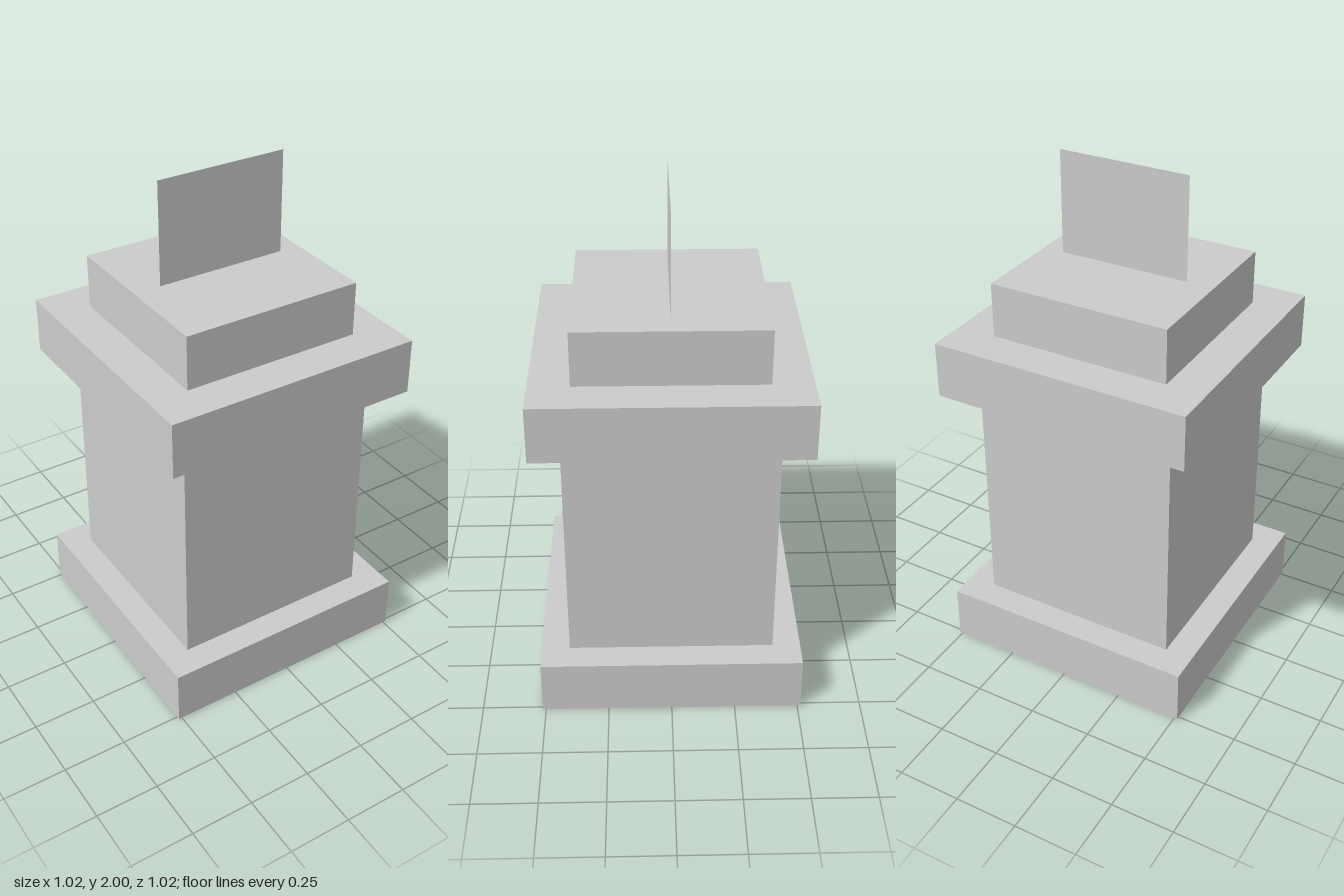
import * as THREE from 'three';

export function createModel() {
  const group = new THREE.Group();
  const stone = new THREE.MeshStandardMaterial({ color: 0xcccccc, flatShading: true });

  // Stacked square blocks: name, width, bottom, top
  const blocks = [
    ['base', 1.025, 0, 0.22],
    ['shaft', 0.805, 0.22, 1.16],
    ['capital', 1.025, 1.16, 1.38],
    ['topBlock', 0.716, 1.38, 1.594],
  ];
  for (const [name, width, bottom, top] of blocks) {
    const mesh = new THREE.Mesh(new THREE.BoxGeometry(width, top - bottom, width), stone);
    mesh.name = name;
    mesh.position.y = (bottom + top) / 2;
    group.add(mesh);
  }

  // Thin upright panel standing on the top block, slightly off centre
  const panelMaterial = stone.clone();
  panelMaterial.side = THREE.DoubleSide;
  const panel = new THREE.Mesh(new THREE.PlaneGeometry(0.525, 0.406), panelMaterial);
  panel.name = 'uprightPanel';
  panel.position.set(0.0125, 1.797, 0);
  group.add(panel);

  return group;
}
